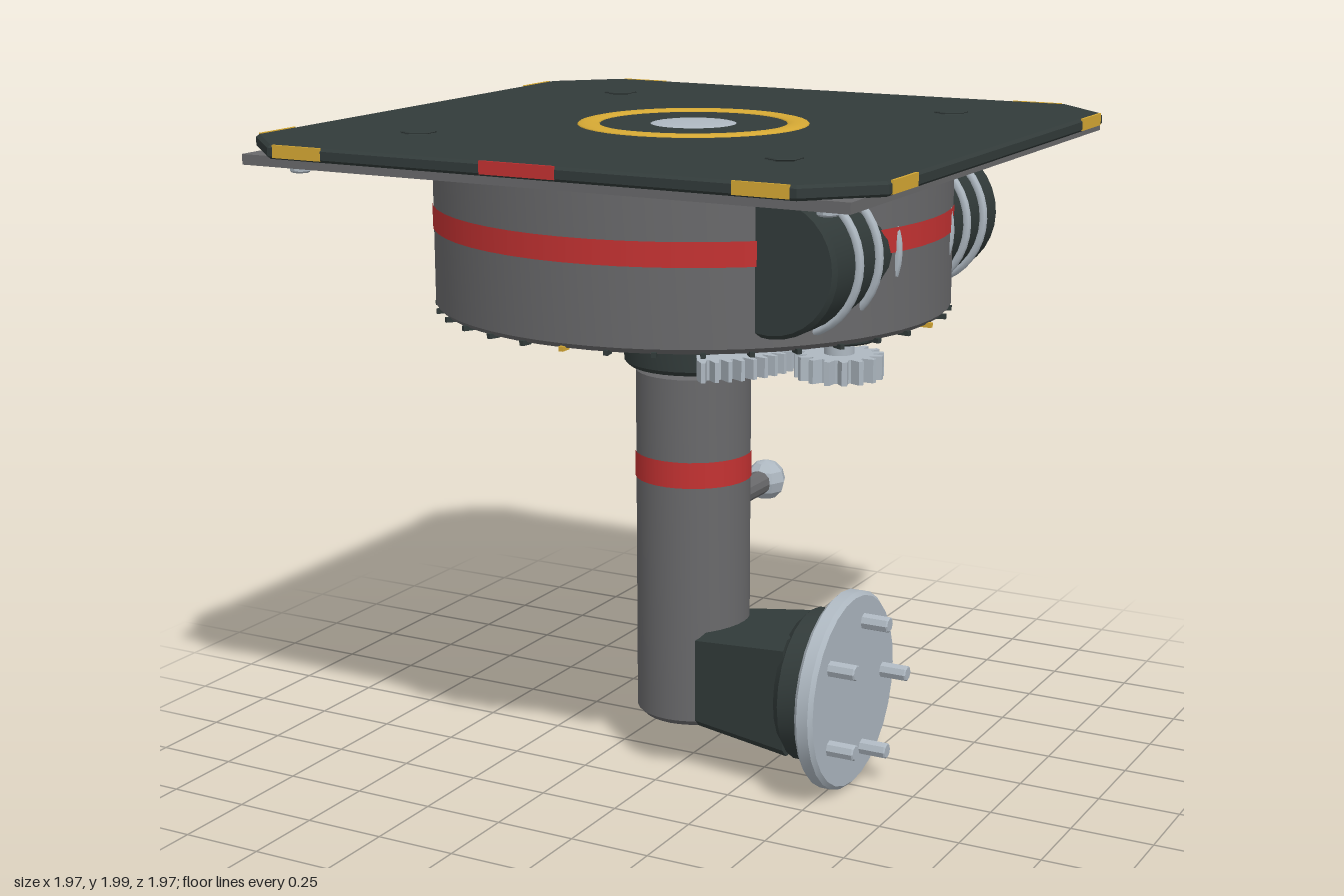
import * as THREE from 'three';
import { toCreasedNormals } from 'three/addons/utils/BufferGeometryUtils.js';

const mat = (name, color) => {
  const m = new THREE.MeshStandardMaterial({ color });
  m.name = name;
  return m;
};

export function createModel() {
  const gray = mat('gunmetal gray', 0x69696b);
  const dark = mat('dark slate', 0x323b3a);
  const red = mat('signal red', 0xc43232);
  const gold = mat('gold', 0xd6a934);
  const steel = mat('light steel', 0xaeb8c1);
  const root = new THREE.Group();
  root.name = 'turntableMount';

  const add = (name, geo, material, x = 0, y = 0, z = 0, parent = root) => {
    const mesh = new THREE.Mesh(geo, material);
    mesh.name = name;
    mesh.position.set(x, y, z);
    parent.add(mesh);
    return mesh;
  };
  // Closed turned solid around y with chamfered rims
  const turned = (r, y0, y1, bevel = 0.01, sides = 32) => toCreasedNormals(
    new THREE.LatheGeometry([
      [0, y0], [r - bevel, y0], [r, y0 + bevel], [r, y1 - bevel], [r - bevel, y1], [0, y1],
    ].map(([a, b]) => new THREE.Vector2(a, b)), sides), 0.5);
  const band = (r, y0, y1, sides) =>
    new THREE.CylinderGeometry(r, r, y1 - y0, sides, 1, true).translate(0, (y0 + y1) / 2, 0);
  const box = (w, h, d) => new THREE.BoxGeometry(w, h, d);
  const group = (name) => {
    const g = new THREE.Group();
    g.name = name;
    root.add(g);
    return g;
  };

  // Top plate with clipped corners
  const s = 0.972, c = 0.805;
  const outline = new THREE.Shape([
    [-c, -s], [c, -s], [s, -c], [s, c], [c, s], [-c, s], [-s, c], [-s, -c],
  ].map(([a, b]) => new THREE.Vector2(a, b)));
  const plate = new THREE.ExtrudeGeometry(outline, {
    depth: 0.024, bevelEnabled: true, bevelThickness: 0.008, bevelSize: 0.01, bevelSegments: 1,
  });
  plate.rotateX(-Math.PI / 2);
  add('topPlate', plate, dark, 0, 1.96, 0);

  // Ring, dome and bolt heads on the plate
  const ring = new THREE.TorusGeometry(0.31, 0.036, 10, 40).rotateX(Math.PI / 2).scale(1, 0.3, 1);
  add('plateRing', ring, gold, 0, 1.989, 0);
  const dome = new THREE.SphereGeometry(0.13, 28, 8, 0, Math.PI * 2, 0, Math.PI / 2).scale(1, 0.075, 1);
  add('centreDome', dome, steel, 0, 1.99, 0);
  for (const x of [-0.58, 0.58]) for (const z of [-0.58, 0.58]) {
    add('plateBolt', turned(0.052, 0, 0.008, 0.006, 6), dark, x, 1.991, z);
  }

  // Edge markers and rails, repeated on all four sides
  const rails = group('underFrame');
  for (let i = 0; i < 4; i++) {
    const side = new THREE.Group();
    side.name = 'plateSide';
    side.rotation.y = i * Math.PI / 2;
    rails.add(side);
    for (const x of [-0.71, 0.71]) add('edgeMarker', box(0.16, 0.036, 0.008), gold, x, 1.975, 0.981, side);
    add('rail', box(1.87, 0.03, 0.045), gray, 0, 1.938, 0.912, side);
    add('cornerBoltHead', turned(0.03, 1.895, 1.945, 0.005, 8), steel, 0.82, 0, 0.82, side);
  }
  add('frontMarker', box(0.23, 0.036, 0.008), red, 0, 1.976, 0.982);

  // Drum with red band
  add('drum', turned(0.77, 1.46, 1.96, 0.015, 56), gray);
  add('drumBand', band(0.773, 1.7, 1.77, 56), red);

  // Tick marks around the lower rim
  const ticks = group('rimTicks');
  for (let i = 0; i < 36; i++) {
    const a = i * Math.PI / 18;
    const t = add('tick', box(0.035, 0.014, 0.014), i % 9 ? dark : gold,
      0.755 * Math.cos(a), 1.459, 0.755 * Math.sin(a), ticks);
    t.rotation.y = -a;
  }

  // Side motor lying across the drum, with bright cooling rings
  const motor = group('sideMotor');
  motor.position.set(0.54, 1.7, 0);
  motor.rotation.x = Math.PI / 2;
  add('motorBody', turned(0.198, -0.585, 0.585, 0.012, 32), dark, 0, 0, 0, motor);
  for (const z of [0.19, 0.32, 0.45]) for (const k of [-1, 1]) {
    add('motorRing', new THREE.TorusGeometry(0.204, 0.014, 8, 40).rotateX(Math.PI / 2), steel, 0, k * z, 0, motor);
  }

  // Column, collar and shaft
  add('shaft', turned(0.09, 1.3, 1.47, 0.004), steel);
  add('collar', turned(0.21, 1.27, 1.357, 0.014), dark);
  add('column', turned(0.175, 0.16, 1.27, 0.018), gray);
  add('columnBand', band(0.178, 0.92, 1.0, 32), red);

  // Toothed outline: full pinion or an arc sector with an inner radius
  const gear = (rootR, tipR, teeth, half, inner, depth) => {
    const p = [], step = 2 * half / teeth;
    for (let i = 0; i < teeth; i++) {
      [[0, rootR], [0.25, tipR], [0.55, tipR], [0.8, rootR]].forEach(([f, r]) => {
        const a = -half + (i + f) * step;
        p.push(new THREE.Vector2(r * Math.cos(a), r * Math.sin(a)));
      });
    }
    for (let i = 0; inner && i <= 16; i++) {
      const a = half - i * half / 8;
      p.push(new THREE.Vector2(inner * Math.cos(a), inner * Math.sin(a)));
    }
    return new THREE.ExtrudeGeometry(new THREE.Shape(p), { depth, bevelEnabled: false })
      .rotateX(-Math.PI / 2);
  };
  add('sectorGear', gear(0.305, 0.345, 18, Math.PI / 3, 0.235, 0.06), steel, 0, 1.283, 0);
  add('pinion', gear(0.1, 0.132, 16, Math.PI, 0, 0.07), steel, 0.483, 1.278, 0);
  add('pinionAxle', turned(0.045, 1.34, 1.4, 0.002, 16), steel, 0.483);
  add('pinionMotor', turned(0.112, 1.39, 1.465, 0.006, 20), dark, 0.483);

  // Pointer arm under the drum
  add('pointerArm', box(0.43, 0.05, 0.06), dark, -0.37, 1.41, 0);
  add('pointerTip', box(0.14, 0.022, 0.05), gold, -0.65, 1.424, 0);

  // Clamp handle at the back
  add('handleBar', turned(0.039, 0, 0.34, 0.004, 12).rotateX(-Math.PI / 2), gray, 0, 0.78, -0.13);
  const knob = new THREE.SphereGeometry(0.066, 8, 6);
  add('handleKnob', toCreasedNormals(knob, 0.3), steel, 0, 0.78, -0.5);

  // Side bracket: tapered block, flange, disc and studs along +x
  const q = 0.15, e = 0.022;
  const section = new THREE.Shape([
    [-q + e, -q], [q - e, -q], [q, -q + e], [q, q - e], [q - e, q], [-q + e, q], [-q, q - e], [-q, -q + e],
  ].map(([a, b]) => new THREE.Vector2(a, b)));
  const block = new THREE.ExtrudeGeometry(section, { depth: 0.33, bevelEnabled: false });
  const pos = block.attributes.position;
  for (let i = 0; i < pos.count; i++) {
    const k = 1 + 0.7 * pos.getZ(i);
    pos.setXY(i, pos.getX(i) * k, pos.getY(i) * k);
  }
  block.rotateY(Math.PI / 2);
  block.computeVertexNormals();
  add('bracketBlock', block, dark, 0.07, 0.31, 0);
  const bracket = group('wallBracket');
  bracket.position.y = 0.31;
  bracket.rotation.z = -Math.PI / 2;
  add('bracketFlange', turned(0.235, 0.38, 0.5, 0.025, 24), dark, 0, 0, 0, bracket);
  add('bracketDisc', turned(0.305, 0.49, 0.55, 0.012, 28), steel, 0, 0, 0, bracket);
  for (let i = 0; i < 5; i++) {
    const a = i * Math.PI * 0.4;
    add('bracketStud', turned(0.025, 0.54, 0.635, 0.004, 8), steel,
      0.213 * Math.sin(a), 0, -0.213 * Math.cos(a), bracket);
  }
  return root;
}
